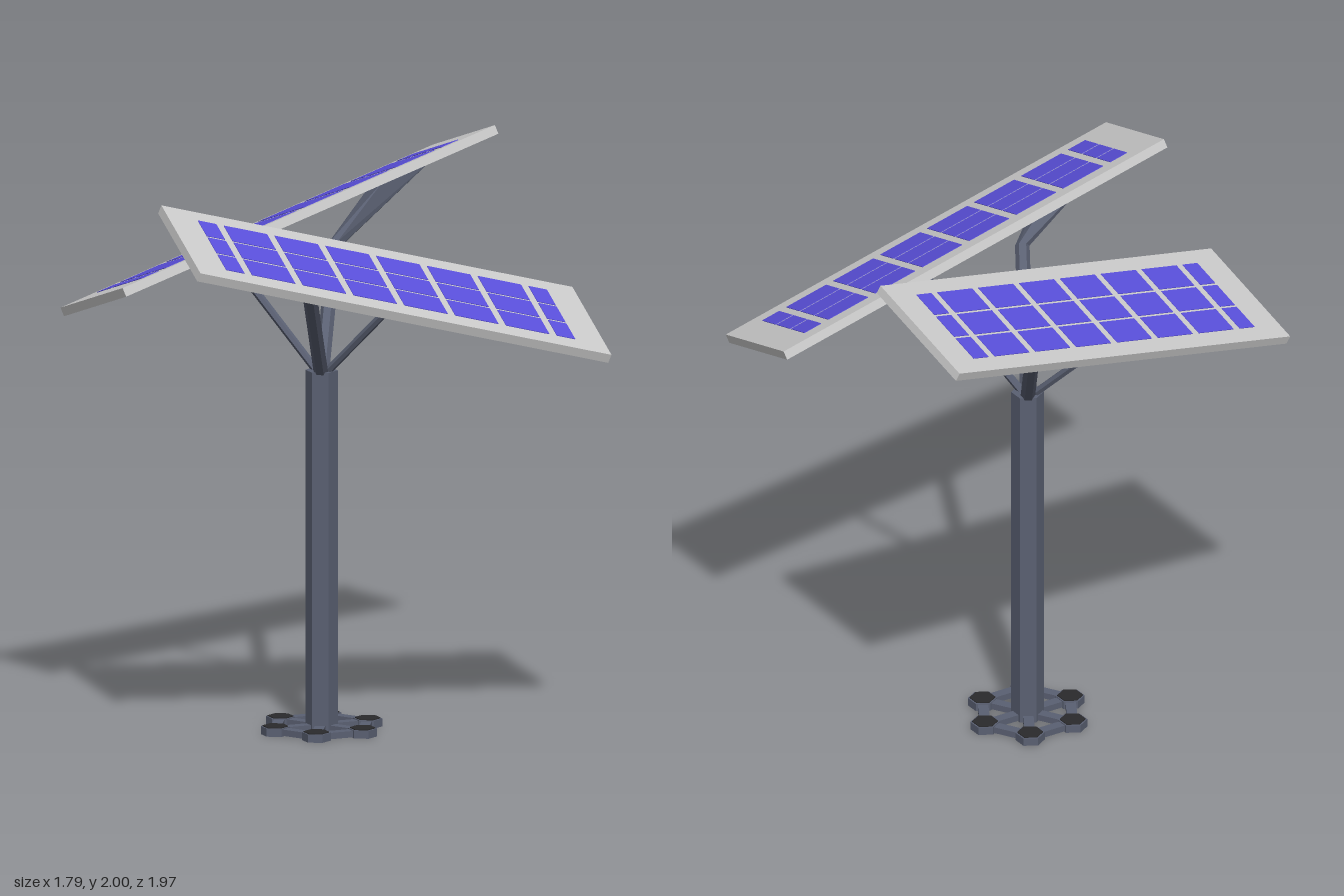
import * as THREE from 'three';
import { ConvexGeometry } from 'three/addons/geometries/ConvexGeometry.js';

const V = (x, y, z) => new THREE.Vector3(x, y, z);
const mat = (color) => new THREE.MeshStandardMaterial({ color, flatShading: true });

const PX = -0.11, PZ = -0.007;            // pole axis
const LENGTH = 1.57, WIDTH = 0.473, THICK = 0.032;

export function createModel() {
  const root = new THREE.Group();
  const steel = mat(0x5a6072), dark = mat(0x2a2a2c), frame = mat(0xcccccc), blue = mat(0x5a50dc);

  const add = (parent, name, geometry, material, x = 0, y = 0, z = 0) => {
    const mesh = new THREE.Mesh(geometry, material);
    mesh.name = name;
    mesh.position.set(x, y, z);
    parent.add(mesh);
    return mesh;
  };

  // Six-sided rod between two points
  const rod = (parent, name, a, b, r) => {
    const dir = b.clone().sub(a);
    const m = add(parent, name, new THREE.CylinderGeometry(r, r, dir.length(), 6), steel);
    m.position.copy(a).lerp(b, 0.5);
    m.quaternion.setFromUnitVectors(V(0, 1, 0), dir.normalize());
  };

  // Pole
  add(root, 'pole', new THREE.CylinderGeometry(0.056, 0.056, 1.255, 6), steel, PX, 0.6275, PZ);

  // Base: six hexagonal feet joined by spokes and a ring of bars
  const base = new THREE.Group();
  base.name = 'base';
  base.position.set(PX, 0, PZ);
  root.add(base);
  const R = 0.173;
  for (let i = 0; i < 6; i++) {
    const a = i * Math.PI / 3, x = Math.cos(a) * R, z = Math.sin(a) * R;
    add(base, 'foot', new THREE.CylinderGeometry(0.05, 0.05, 0.028, 6), steel, x, 0.014, z);
    add(base, 'footCap', new THREE.CylinderGeometry(0.044, 0.044, 0.004, 6), dark, x, 0.029, z);
    const spoke = add(base, 'spoke', new THREE.BoxGeometry(R, 0.022, 0.036), steel, x / 2, 0.014, z / 2);
    spoke.rotation.y = -a;
    const m = a + Math.PI / 6, d = R * Math.cos(Math.PI / 6);
    const bar = add(base, 'ringBar', new THREE.BoxGeometry(0.036, 0.022, R), steel,
      Math.cos(m) * d, 0.014, Math.sin(m) * d);
    bar.rotation.y = -m;
  }

  // Solar panel: local x runs along its length, y out of its face
  const makePanel = (name, centre, along, across) => {
    const panel = new THREE.Group();
    panel.name = name;
    const u = along.clone().normalize();
    const n = across.clone().cross(u).normalize();
    if (n.y < 0) n.negate();
    const w = u.clone().cross(n);
    panel.quaternion.setFromRotationMatrix(new THREE.Matrix4().makeBasis(u, n, w));
    panel.position.copy(centre);
    add(panel, 'panelFrame', new THREE.BoxGeometry(LENGTH, THICK, WIDTH), frame, 0, -THICK / 2, 0);

    // Cells: six long rows with a short row at each end, three columns
    const rows = [0.07, 0.165, 0.165, 0.165, 0.165, 0.165, 0.165, 0.07];
    const gap = 0.029, colGap = 0.01, cellW = (0.343 - 2 * colGap) / 3;
    let x = -(rows.reduce((s, r) => s + r, 0) + gap * 7) / 2;
    for (const len of rows) {
      for (let c = -1; c <= 1; c++) {
        add(panel, 'cell', new THREE.BoxGeometry(len, 0.003, cellW), blue,
          x + len / 2, 0.0005, c * (cellW + colGap));
      }
      x += len + gap;
    }
    root.add(panel);
    panel.updateMatrixWorld(true);
    return panel;
  };

  // Support arm: rod to an elbow, then a wedge spreading into a pad under the panel
  const makeArm = (name, panel, elbow, r, s0, s1, half) => {
    const arm = new THREE.Group();
    arm.name = name;
    root.add(arm);
    const start = V(PX, 1.23, PZ);
    rod(arm, 'armRod', start, elbow, r);
    const q = new THREE.Quaternion().setFromUnitVectors(V(0, 1, 0), elbow.clone().sub(start).normalize());
    const pts = [];
    for (let i = 0; i < 6; i++) {
      const a = i * Math.PI / 3;
      pts.push(V(Math.sin(a) * r, 0, Math.cos(a) * r).applyQuaternion(q).add(elbow));
    }
    for (const s of [s0, s1]) for (const side of [-1, 1]) {
      pts.push(V(s, -THICK + 0.004, side * half).applyMatrix4(panel.matrixWorld));
    }
    add(arm, 'armPad', new ConvexGeometry(pts), steel);
  };

  const leftPanel = makePanel('leftPanel', V(0.313, 1.653, 0.2), V(-0.795, 0.4, 1.285), V(0.36, -0.15, 0.27));
  const rightPanel = makePanel('rightPanel', V(-0.42, 1.725, -0.18), V(0.545, 0.4, -1.423), V(0.405, 0.15, 0.19));

  makeArm('leftMainArm', leftPanel, V(0.085, 1.61, 0.335), 0.025, 0.41, 0.62, 0.05);
  makeArm('rightMainArm', rightPanel, V(-0.305, 1.61, -0.35), 0.025, 0.41, 0.62, 0.05);
  makeArm('leftThinArm', leftPanel, V(0.275, 1.6, PZ), 0.014, -0.28, -0.16, 0.05);
  makeArm('rightThinArm', rightPanel, V(-0.485, 1.59, PZ), 0.014, -0.28, -0.16, 0.05);

  return root;
}
